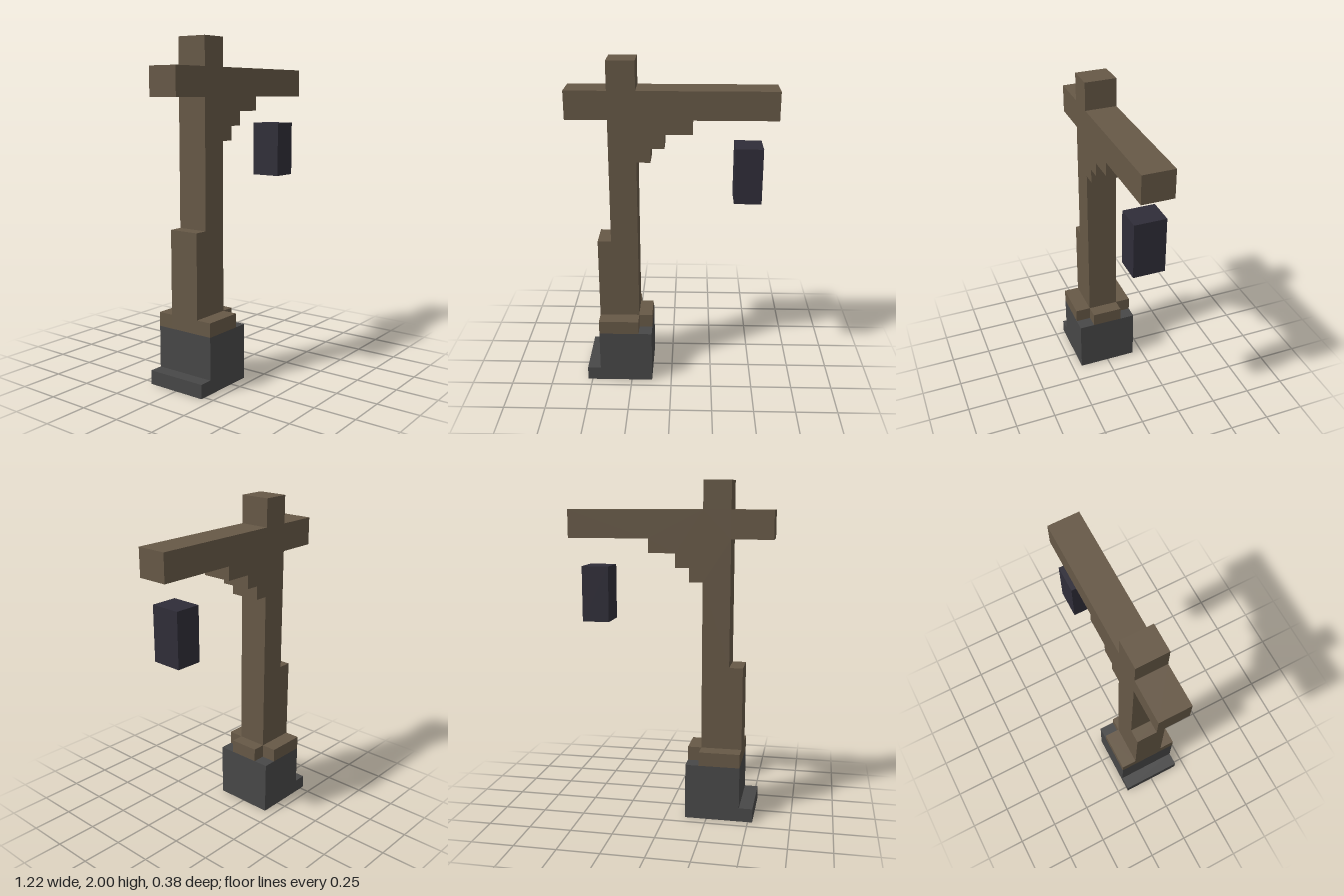
import * as THREE from 'three';

// Grid cell sizes: everything sits on a block grid, 15 columns by 24 rows
const UX = 0.0811, UY = 1 / 12, UZ = 0.094;
const gx = (c) => (c - 7.5) * UX;

export function createModel() {
  const group = new THREE.Group();
  const material = (name, color) => {
    const m = new THREE.MeshStandardMaterial({ color });
    m.name = name;
    return m;
  };
  const wood = material('brown wood', 0x665846);
  const stone = material('grey stone', 0x474747);
  const iron = material('dark iron', 0x2f2d38);

  const add = (name, geometry, mat) => {
    const mesh = new THREE.Mesh(geometry, mat);
    mesh.name = name;
    group.add(mesh);
    return mesh;
  };

  // Block between grid corners
  const block = (name, mat, x0, x1, y0, y1, z0, z1) => {
    const geometry = new THREE.BoxGeometry((x1 - x0) * UX, (y1 - y0) * UY, (z1 - z0) * UZ);
    add(name, geometry, mat).position.set(
      (gx(x0) + gx(x1)) / 2, (y0 + y1) / 2 * UY, (z0 + z1) / 2 * UZ);
  };

  // Stepped outline in grid cells, extruded evenly about z = 0
  const slab = (name, mat, outline, halfDepth) => {
    const shape = new THREE.Shape(outline.map(([c, r]) => new THREE.Vector2(gx(c), r * UY)));
    const geometry = new THREE.ExtrudeGeometry(shape, { depth: 2 * halfDepth * UZ, bevelEnabled: false });
    geometry.translate(0, 0, -halfDepth * UZ);
    add(name, geometry, mat);
  };

  // Stone foot with a low ledge on one side
  slab('stoneBase', stone, [[1, 0], [6, 0], [6, 4], [2, 4], [2, 1], [1, 1]], 2);

  // Post, cross arm and stepped bracket in one outline
  slab('postAndArm', wood, [
    [2, 4], [5, 4], [5, 17], [6, 17], [6, 18], [7, 18], [7, 19], [9, 19], [9, 20],
    [15, 20], [15, 22], [5, 22], [5, 24], [3, 24], [3, 22], [0, 22], [0, 20],
    [3, 20], [3, 11], [2, 11],
  ], 1);

  // Wooden collar strips around the foot of the post
  block('frontCollar', wood, 2, 5, 4, 5, 1, 2);
  block('backCollar', wood, 2, 5, 4, 5, -2, -1);
  block('sideCollar', wood, 5, 6, 4, 5, -1, 1);

  // Lantern hanging free below the arm
  block('lantern', iron, 12, 14, 14, 18, -1, 1);

  return group;
}
